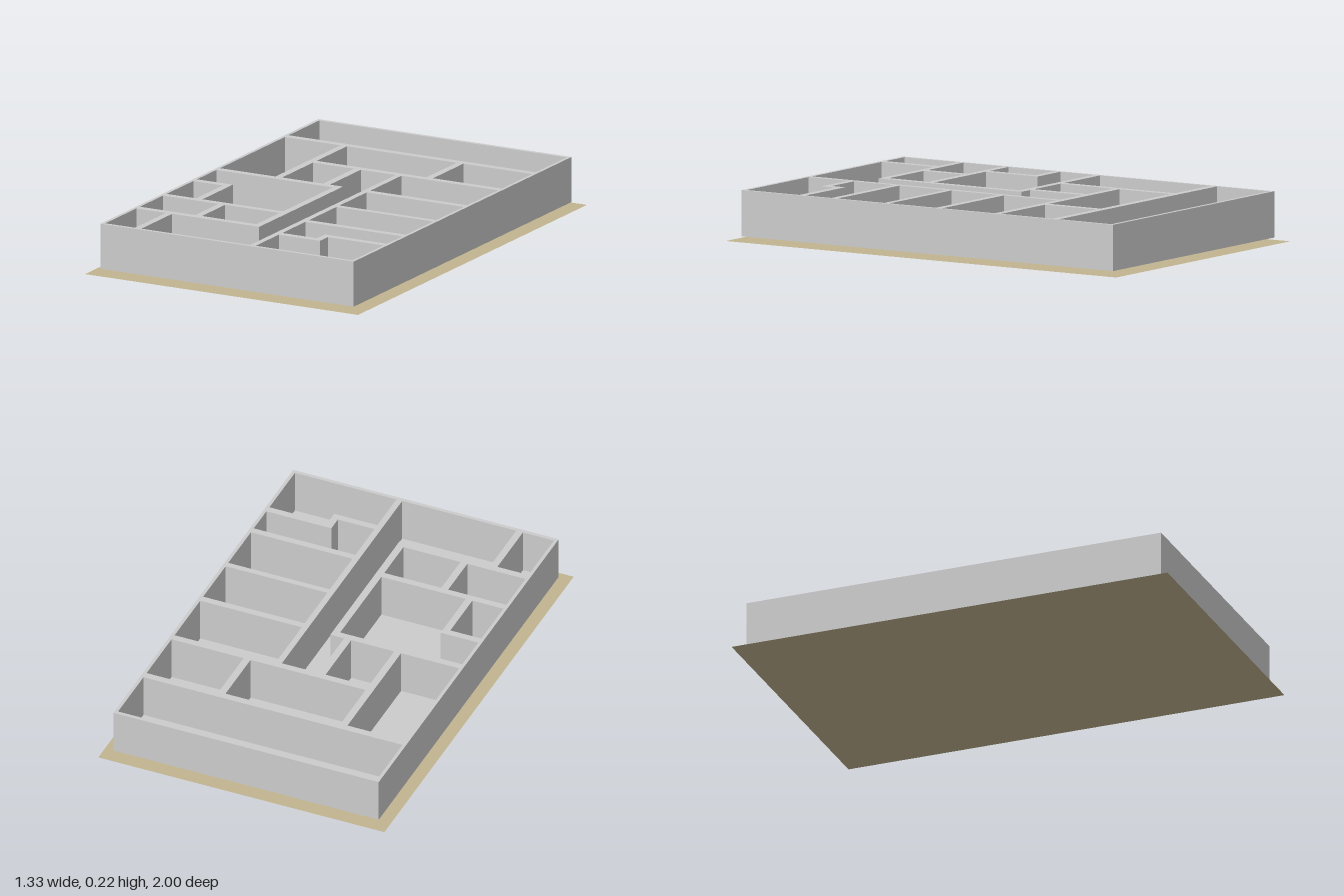
import * as THREE from 'three';

const BASE = 0.018, HEIGHT = 0.199;    // wall foot level and wall height
const W = 0.617, D = 0.951;            // outer half-width and half-depth
const IX = 0.602, IZ = 0.934;          // inner faces of the outer walls

// Corners are given in plan as [x, z]; the shape plane uses y = -z.
const toPoints = (corners) => corners.map(([x, z]) => new THREE.Vector2(x, -z));
const rect = (x0, z0, x1, z1) => [[x0, z0], [x1, z0], [x1, z1], [x0, z1]];

const rooms = [
  // back hall and the row in front of it
  rect(-IX, -IZ, IX, -0.666),
  rect(-IX, -0.633, -0.332, -0.067),
  rect(-0.3, -0.633, 0.235, -0.369),
  rect(0.267, -0.633, IX, -0.369),
  rect(-0.3, -0.337, -0.1, -0.067),
  // corridor opening into the entrance hall
  [[-0.067, -0.337], [0.103, -0.337], [0.103, IZ], [-0.427, IZ],
    [-0.427, 0.665], [-0.003, 0.665], [-0.003, -0.067], [-0.067, -0.067]],
  // rooms on the +x side
  rect(0.13, -0.337, IX, -0.067),
  rect(0.13, -0.035, IX, 0.203),
  rect(0.13, 0.23, IX, 0.469),
  [[0.13, 0.5], [IX, 0.5], [IX, 0.633], [0.3, 0.633], [0.3, 0.702], [0.13, 0.702]],
  [[0.331, 0.665], [IX, 0.665], [IX, IZ], [0.13, IZ], [0.13, 0.733], [0.331, 0.733]],
  // rooms on the -x side
  [[-IX, -0.035], [-0.035, -0.035], [-0.035, 0.4], [-0.427, 0.4], [-0.427, 0.135], [-IX, 0.135]],
  rect(-IX, 0.167, -0.458, 0.4),
  rect(-IX, 0.431, -0.332, 0.633),
  rect(-0.3, 0.431, -0.035, 0.633),
  rect(-IX, 0.665, -0.458, IZ),
];

export function createModel() {
  const group = new THREE.Group();
  const add = (name, geometry, material, y) => {
    const mesh = new THREE.Mesh(geometry, material);
    mesh.name = name;
    mesh.rotation.x = -Math.PI / 2;
    mesh.position.y = y;
    group.add(mesh);
  };
  const grey = new THREE.MeshStandardMaterial({ color: 0xcccccc });
  const floorGrey = new THREE.MeshStandardMaterial({ color: 0xcccccc, side: THREE.DoubleSide });
  const sand = new THREE.MeshStandardMaterial({ color: 0xc2b48f, side: THREE.DoubleSide });

  // thin plot of ground
  add('groundPlate', new THREE.PlaneGeometry(1.33, 2), sand, 0);

  // floor under all rooms
  add('floor', new THREE.PlaneGeometry(2 * W, 2 * D), floorGrey, BASE);

  // all walls as one block with the rooms cut out; holes wind against the outline
  const plan = new THREE.Shape(toPoints(rect(-W, -D, W, D)));
  plan.holes = rooms.map((corners) => new THREE.Path(toPoints(corners).reverse()));
  add('walls', new THREE.ExtrudeGeometry(plan, { depth: HEIGHT, bevelEnabled: false }), grey, BASE);

  return group;
}
